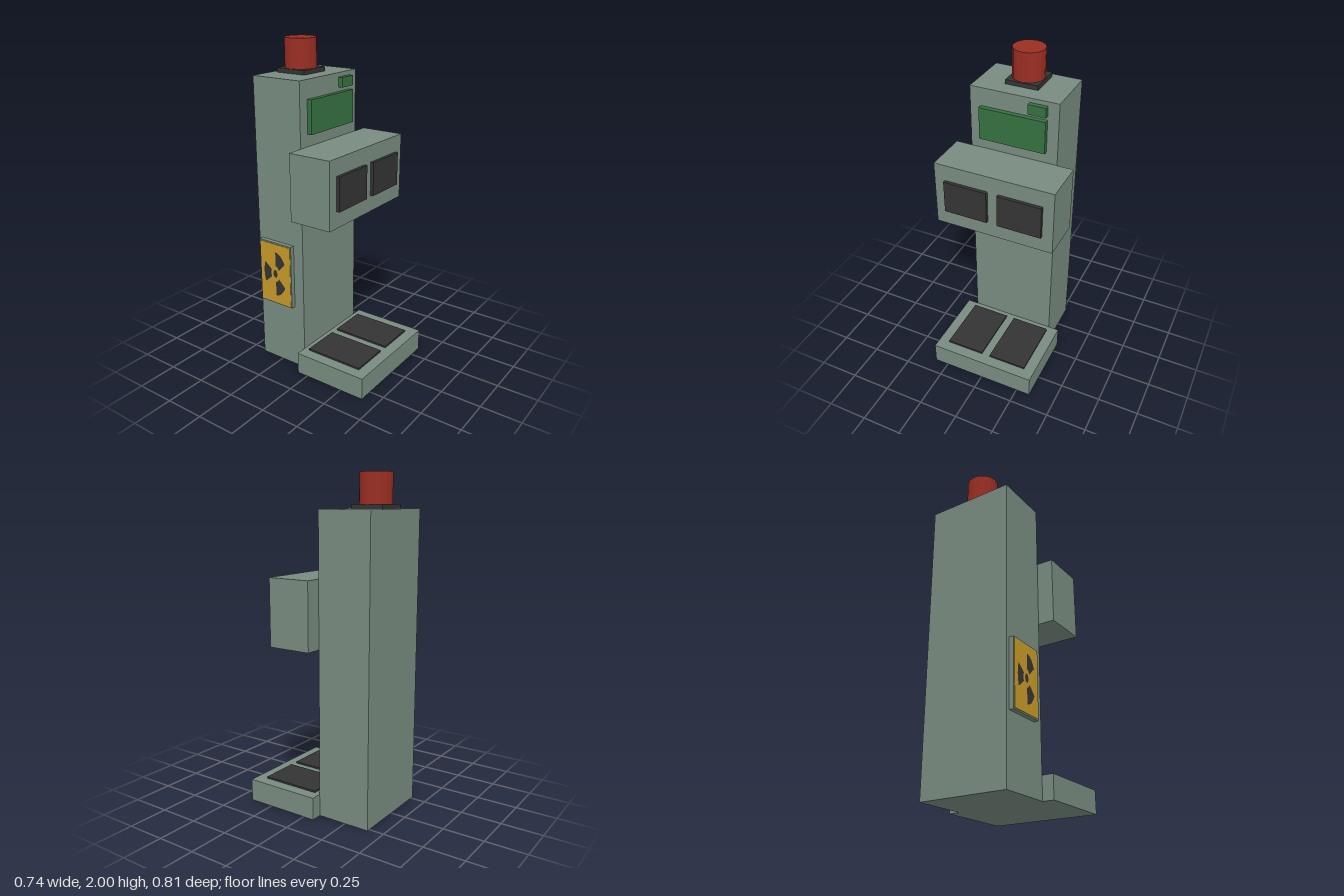
import * as THREE from 'three';

const paint = (name, color) => {
  const m = new THREE.MeshStandardMaterial({ color });
  m.name = name;
  return m;
};

export function createModel() {
  const model = new THREE.Group();
  model.name = 'machine';
  const casing = paint('grey green casing', 0x788c80);
  const dark = paint('charcoal', 0x343434);
  const green = paint('green display', 0x357140);
  const red = paint('red lamp', 0x9a2e23);
  red.flatShading = true;
  const yellow = paint('warning yellow', 0xc89b28);

  const add = (name, geometry, material) => {
    const mesh = new THREE.Mesh(geometry, material);
    mesh.name = name;
    model.add(mesh);
    return mesh;
  };
  // Box given by its limits on each axis
  const box = (name, material, [x0, x1], [y0, y1], [z0, z1]) =>
    add(name, new THREE.BoxGeometry(x1 - x0, y1 - y0, z1 - z0), material)
      .position.set((x0 + x1) / 2, (y0 + y1) / 2, (z0 + z1) / 2);

  // Casing
  box('column', casing, [-0.27, 0.27], [0, 1.8], [-0.405, -0.07]);
  box('footPlatform', casing, [-0.338, 0.338], [0, 0.137], [-0.07, 0.405]);
  box('consoleBox', casing, [-0.37, 0.37], [1.017, 1.42], [-0.07, 0.202]);

  // Paired foot pads and hand pads
  for (const [side, s] of [['left', 1], ['right', -1]]) {
    const span = (a, b) => (s > 0 ? [a, b] : [-b, -a]);
    box(side + 'FootPad', dark, span(0.027, 0.27), [0.137, 0.148], [-0.035, 0.337]);
    box(side + 'HandPad', dark, span(0.033, 0.304), [1.117, 1.32], [0.202, 0.222]);
  }

  // Displays
  box('mainDisplay', green, [-0.204, 0.203], [1.492, 1.69], [-0.07, -0.041]);
  box('smallDisplay', green, [0.095, 0.203], [1.715, 1.774], [-0.07, -0.041]);

  // Warning lamp
  box('lampBase', dark, [-0.1, 0.1], [1.8, 1.826], [-0.372, -0.17]);
  add('lamp', new THREE.CylinderGeometry(0.095, 0.095, 0.174, 16), red)
    .position.set(0, 1.913, -0.271);

  // Hazard plate on the right side
  const cy = 0.611, cz = -0.26;
  box('hazardPlate', casing, [-0.298, -0.27], [0.408, 0.815], [-0.38, -0.139]);
  box('hazardFace', yellow, [-0.301, -0.298], [0.416, 0.807], [-0.374, -0.145]);

  // Hazard symbol: three blades round a dot, stretched upward
  const symbol = new THREE.Group();
  symbol.name = 'hazardSymbol';
  symbol.position.set(-0.303, cy, cz);
  symbol.rotation.y = -Math.PI / 2;
  symbol.scale.y = 1.65;
  model.add(symbol);
  const flat = (name, geometry) => {
    const mesh = new THREE.Mesh(geometry, dark);
    mesh.name = name;
    symbol.add(mesh);
  };
  for (let i = 0; i < 3; i++) {
    const mid = Math.PI / 3 + i * Math.PI * 2 / 3, half = 0.48;
    flat('hazardBlade', new THREE.RingGeometry(0.032, 0.088, 10, 1, mid - half, half * 2));
  }
  flat('hazardDot', new THREE.CircleGeometry(0.016, 14));

  return model;
}
